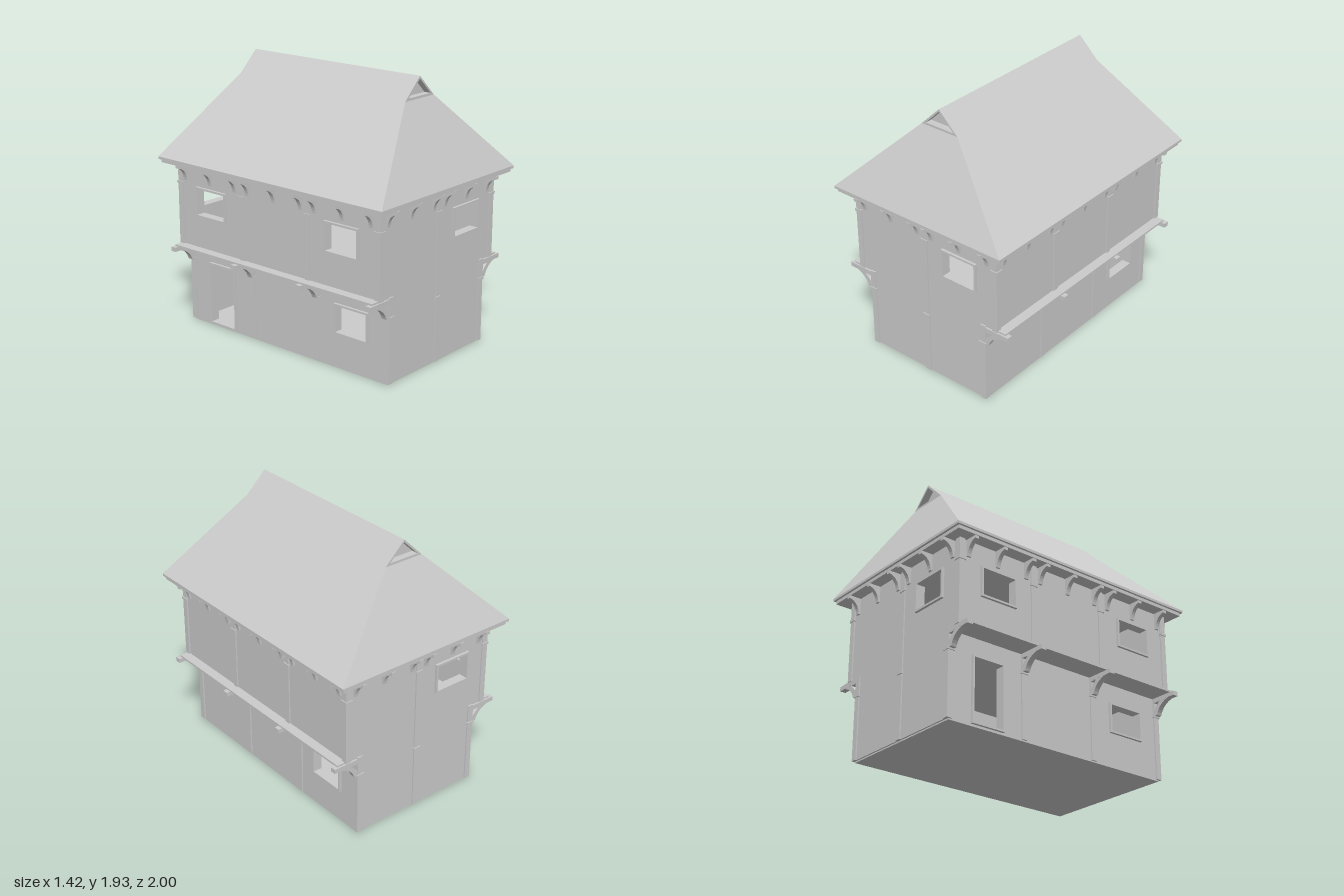
import * as THREE from 'three';

const mat = new THREE.MeshStandardMaterial({ color: 0xcccccc, flatShading: true, side: THREE.DoubleSide });
const T = 0.05; // wall thickness

function add(parent, name, geo, x = 0, y = 0, z = 0) {
  const m = new THREE.Mesh(geo, mat);
  m.name = name;
  m.position.set(x, y, z);
  parent.add(m);
  return m;
}

// box given by its limits on each axis
function box(parent, name, x0, x1, y0, y1, z0, z1) {
  return add(parent, name, new THREE.BoxGeometry(x1 - x0, y1 - y0, z1 - z0),
    (x0 + x1) / 2, (y0 + y1) / 2, (z0 + z1) / 2);
}

const outline = pts => pts.map(p => new THREE.Vector2(...p));
const rect = (u0, u1, y0, y1) => outline([[u0, y0], [u1, y0], [u1, y1], [u0, y1]]);

// upright plate with openings, from z0 to z1
function plate(parent, name, pts, holes, z0, z1) {
  const s = new THREE.Shape(pts);
  holes.forEach(h => s.holes.push(new THREE.Path(h)));
  const g = new THREE.ExtrudeGeometry(s, { depth: z1 - z0, bevelEnabled: false });
  add(parent, name, g, 0, 0, z0);
}

// profile drawn as (outward, up), extruded along the wall
function bracket(parent, name, shape, w, u, y, z) {
  const g = new THREE.ExtrudeGeometry(shape, { depth: w, bevelEnabled: false, curveSegments: 8 });
  g.translate(0, 0, -w / 2).rotateY(-Math.PI / 2);
  add(parent, name, g, u, y, z);
}

function eaveShape() {
  const s = new THREE.Shape();
  s.moveTo(0, 0).lineTo(0, -0.12).lineTo(0.012, -0.12);
  s.quadraticCurveTo(0.02, -0.035, 0.09, -0.022).lineTo(0.09, 0);
  return s;
}

function jettyShape() {
  const s = new THREE.Shape();
  s.moveTo(0, 0).lineTo(0, -0.1).lineTo(0.03, -0.1);
  s.quadraticCurveTo(0.055, -0.02, 0.15, 0);
  s.holes.push(new THREE.Path(outline([[0.006, -0.006], [0.055, -0.006], [0.006, -0.055]])));
  return s;
}

// post with a small collar, standing proud of the wall face at z = d
function post(parent, u, y0, y1, d, collars) {
  box(parent, 'post', u - 0.021, u + 0.021, y0, y1, d - 0.03, d + 0.01);
  collars.forEach(y => box(parent, 'postCollar', u - 0.027, u + 0.027, y - 0.009, y + 0.009, d - 0.03, d + 0.016));
}

// opening = [u0, u1, y0, y1]
function frame(parent, name, [u0, u1, y0, y1], d) {
  const b = 0.014;
  plate(parent, name, rect(u0 - b, u1 + b, y0 - b, y1 + b), [rect(u0, u1, y0, y1)], d - 0.01, d + 0.018);
}

// a wall group faces outward along its own +z
function facing(root, name, angle) {
  const g = new THREE.Group();
  g.name = name;
  g.rotation.y = angle;
  root.add(g);
  return g;
}

function endWall(root, name, angle) {
  const g = facing(root, name, angle), win = [0.164, 0.426, 0.85, 1.036], d = 0.9;
  const pts = outline([[-0.5, 0.01], [0.5, 0.01], [0.5, 0.6], [0.6, 0.6], [0.6, 1.2], [-0.6, 1.2], [-0.6, 0.6], [-0.5, 0.6]]);
  plate(g, 'endWall', pts, [rect(...win)], d - T, d);
  frame(g, 'windowFrame', win, d);
  post(g, 0, 0.01, 1.2, d, [0.465, 1.055]);
  for (const s of [-1, 1]) {
    post(g, s * 0.49, 0.01, 0.605, d, [0.465]);
    post(g, s * 0.59, 0.6, 1.2, d, [1.055]);
  }
  for (const u of [-0.53, -0.295, -0.06, 0.06, 0.295, 0.53])
    bracket(g, 'eaveBracket', eaveShape(), 0.03, u, 1.2, d);
}

function sideWall(root, name, angle, lower, upper) {
  const g = facing(root, name, angle), L = 0.85;
  const levels = [[0.01, 0.6, 0.5, lower], [0.6, 1.2, 0.6, upper]];
  for (const [y0, y1, d, openings] of levels) {
    plate(g, 'sideWall', rect(-L, L, y0, y1), openings.map(o => rect(...o)), d - T, d);
    openings.forEach(o => frame(g, o[2] < 0.1 ? 'doorFrame' : 'windowFrame', o, d));
    for (const u of [-0.889, -0.297, 0.297, 0.889])
      post(g, u, y0, y1, d, [y0 < 0.1 ? 0.465 : 1.055]);
  }
  // projecting beams with curved braces under the ledge
  for (const u of [-0.889, -0.297, 0.297, 0.889]) {
    box(g, 'jettyBeam', u - 0.021, u + 0.021, 0.565, 0.596, 0.47, 0.7);
    bracket(g, 'jettyBrace', jettyShape(), 0.04, u, 0.567, 0.508);
  }
  for (const u of [0, 0.24, 0.36, 0.597, 0.835])
    for (const s of u ? [-1, 1] : [1])
      bracket(g, 'eaveBracket', eaveShape(), 0.03, s * u, 1.2, 0.6);
}

// half of the roof: one long slope, one hip and its recessed gablet
function roofHalf() {
  const pos = [];
  const face = (...p) => {
    for (let i = 1; i < p.length - 1; i++) pos.push(...p[0], ...p[i], ...p[i + 1]);
  };
  const E = 1.24, H = 1.784, R = 1.93, z = 0.73, zi = 0.68;
  face([0.71, E, 1], [0.71, E, -1], [0.15, H, -z], [0.15, H, z]);
  face([0.15, H, z], [0.15, H, -z], [0, R, -z], [0, R, z]);
  face([-0.71, E, 1], [0.71, E, 1], [0.15, H, z], [-0.15, H, z]);
  const outer = [[-0.15, H], [0.15, H], [0, R]], inner = [[-0.115, 1.8], [0.115, 1.8], [0, 1.912]];
  for (let i = 0; i < 3; i++) {
    const j = (i + 1) % 3;
    face([...outer[i], z], [...outer[j], z], [...inner[j], z], [...inner[i], z]);
    face([...inner[i], z], [...inner[j], z], [...inner[j], zi], [...inner[i], zi]);
  }
  face(...inner.map(p => [...p, zi]));
  const g = new THREE.BufferGeometry();
  g.setAttribute('position', new THREE.Float32BufferAttribute(pos, 3));
  g.computeVertexNormals();
  return g;
}

export function createModel() {
  const root = new THREE.Group();
  root.name = 'timberHouse';

  box(root, 'baseSlab', -0.5, 0.5, 0, 0.012, -0.89, 0.89);
  box(root, 'upperFloorLedge', -0.67, 0.67, 0.594, 0.608, -0.898, 0.898);

  endWall(root, 'frontWall', 0);
  endWall(root, 'backWall', Math.PI);
  const lowWindow = [0.46, 0.72, 0.258, 0.444];
  sideWall(root, 'leftWall', Math.PI / 2, [lowWindow], []);
  sideWall(root, 'rightWall', -Math.PI / 2,
    [lowWindow, [-0.706, -0.478, 0.03, 0.46]],
    [[0.46, 0.72, 0.85, 1.036], [-0.72, -0.46, 0.85, 1.036]]);

  // eaves and roof
  box(root, 'eavePlate', -0.695, 0.695, 1.198, 1.225, -0.985, 0.985);
  box(root, 'roofEdge', -0.71, 0.71, 1.222, 1.24, -1, 1);
  for (const a of [0, Math.PI]) add(root, 'roof', roofHalf()).rotation.y = a;
  return root;
}
